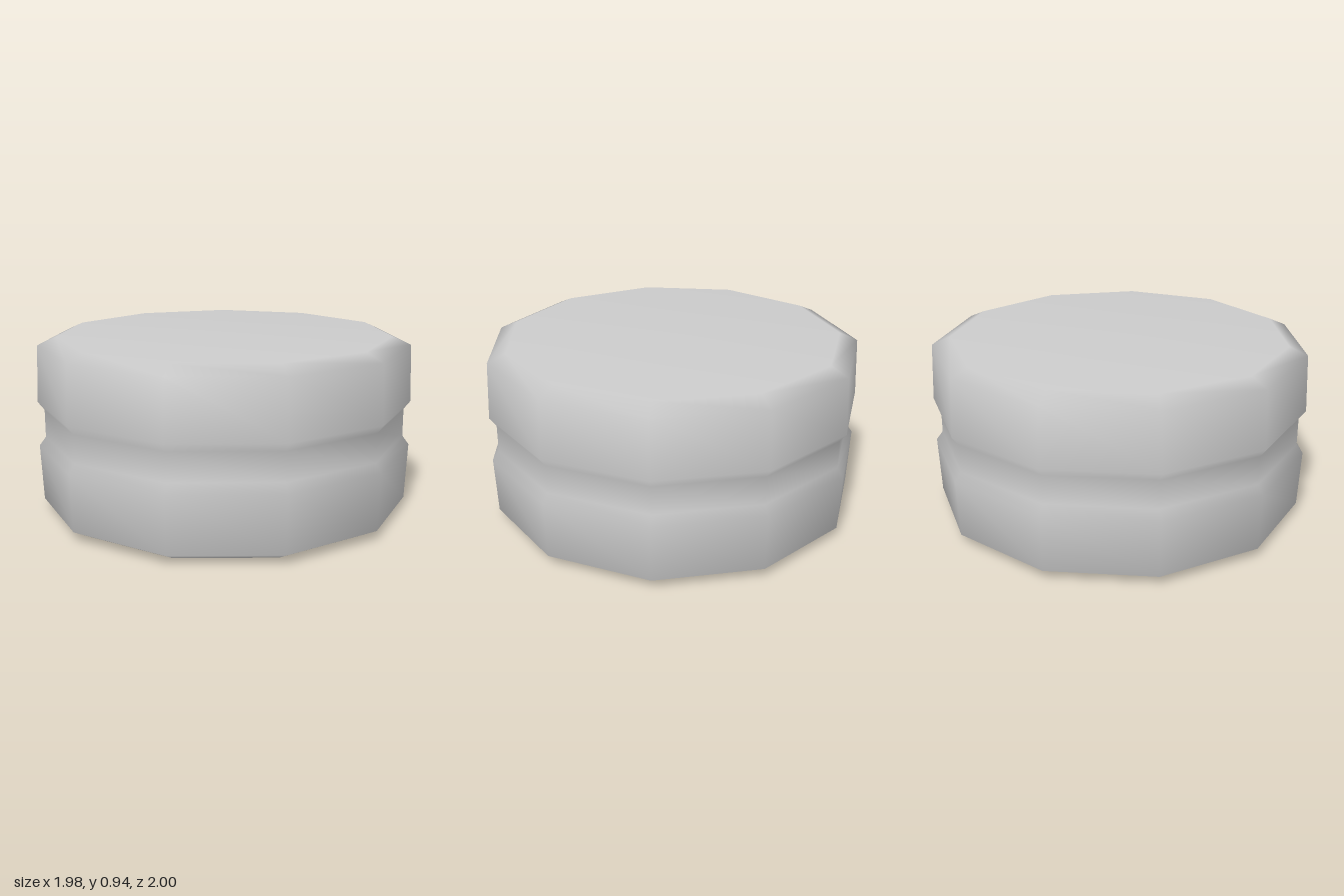
import * as THREE from 'three';
import { mergeVertices } from 'three/addons/utils/BufferGeometryUtils.js';

const SIDES = 11;

// Half profile as [radius, height], from bottom centre to top centre
const PROFILE = [
  [0, 0], [0.9, 0], [0.997, 0.05], [1.01, 0.353],
  [0.975, 0.4], [0.975, 0.55], // waist groove
  [1.01, 0.595], [0.997, 0.9], [0.9, 0.943], [0, 0.943],
];

export function createModel() {
  const group = new THREE.Group();
  group.name = 'groovedDrum';

  // Eleven-sided turned body with one corner towards +x
  const points = PROFILE.map(([r, y]) => new THREE.Vector2(r, y));
  let geometry = new THREE.LatheGeometry(points, SIDES, Math.PI / 2);

  // Weld the seam and smooth by face area, so the caps stay flat
  geometry.deleteAttribute('uv');
  geometry.deleteAttribute('normal');
  geometry = mergeVertices(geometry);
  geometry.computeVertexNormals();

  // An odd number of sides is off-centre in x
  geometry.translate(-0.0205, 0, 0);

  const body = new THREE.Mesh(geometry, new THREE.MeshStandardMaterial({ color: 0xcccccc }));
  body.name = 'body';
  group.add(body);
  return group;
}
